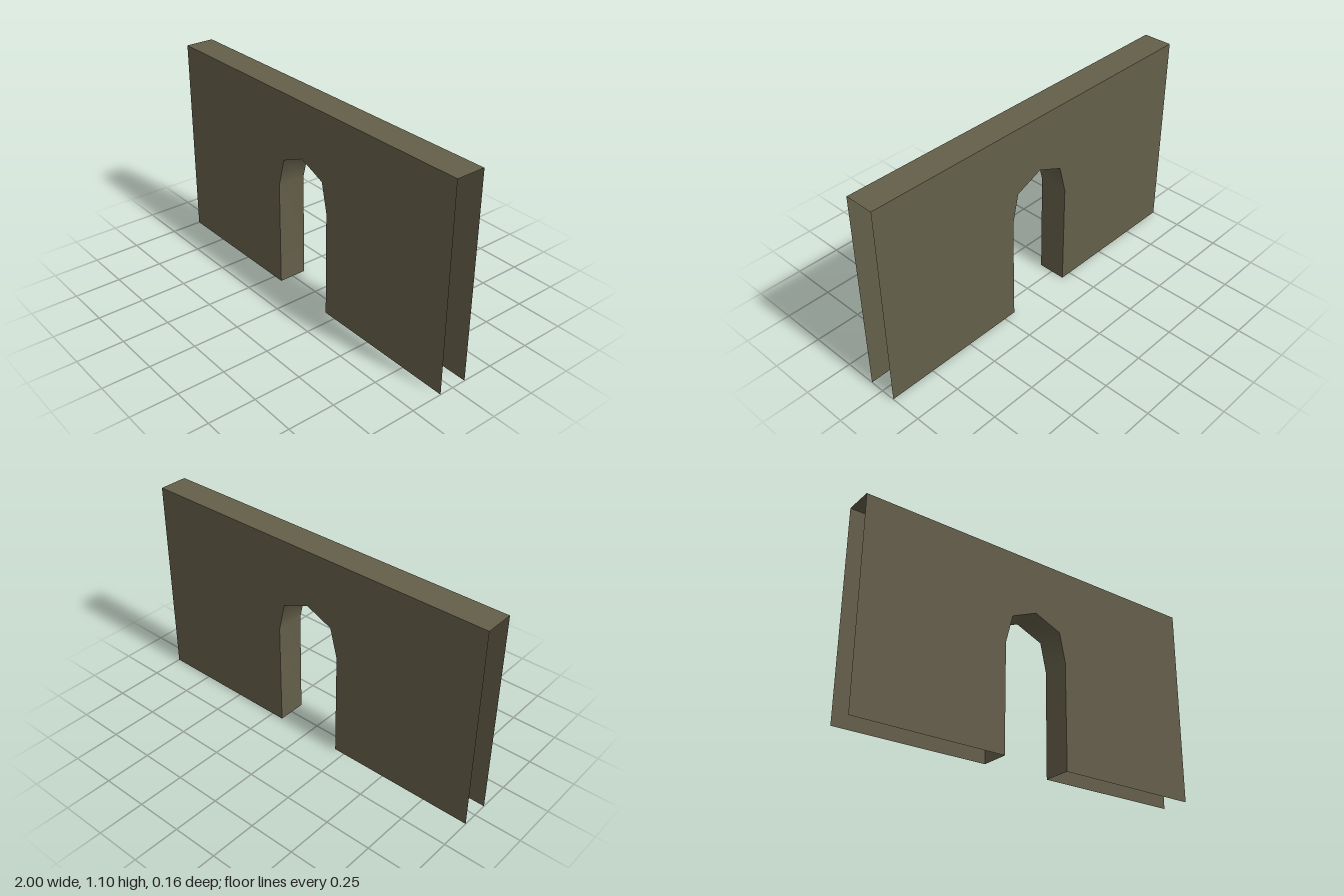
import * as THREE from 'three';

export function createModel() {
  const group = new THREE.Group();
  const stone = new THREE.MeshStandardMaterial({ color: 0x645f4a, side: THREE.DoubleSide });
  stone.name = 'olive stone';

  const height = 1.1, halfDepth = 0.078;
  // Doorway outline, from the foot of one jamb over the arch to the other
  const arch = [
    [-0.193, 0], [-0.193, 0.58], [-0.152, 0.737], [-0.006, 0.8],
    [0.147, 0.737], [0.182, 0.58], [0.182, 0],
  ];

  function add(name, geometry) {
    const mesh = new THREE.Mesh(geometry, stone);
    mesh.name = name;
    group.add(mesh);
    return mesh;
  }

  // Wall sheet with the doorway cut out; mirror is 1 or -1
  function sheet(mirror) {
    const outline = [[-1, 0], ...arch, [1, 0], [1, height], [-1, height]];
    return new THREE.ShapeGeometry(
      new THREE.Shape(outline.map(([x, y]) => new THREE.Vector2(x * mirror, y))));
  }
  add('frontWall', sheet(1)).position.z = halfDepth;
  const back = add('backWall', sheet(-1));
  back.position.z = -halfDepth;
  back.rotation.y = Math.PI;

  // Top strip; the ends and underside stay open
  const top = add('wallTop', new THREE.PlaneGeometry(2, halfDepth * 2));
  top.rotation.x = -Math.PI / 2;
  top.position.y = height;

  // Doorway lining: a plane bent along the arch, softly shaded
  const lining = new THREE.PlaneGeometry(1, 1, arch.length - 1, 1);
  const pos = lining.attributes.position;
  for (let i = 0; i < pos.count; i++) {
    const [x, y] = arch[i % arch.length];
    pos.setXYZ(i, x, y, i < arch.length ? halfDepth : -halfDepth);
  }
  lining.computeVertexNormals();
  add('archLining', lining);

  return group;
}
